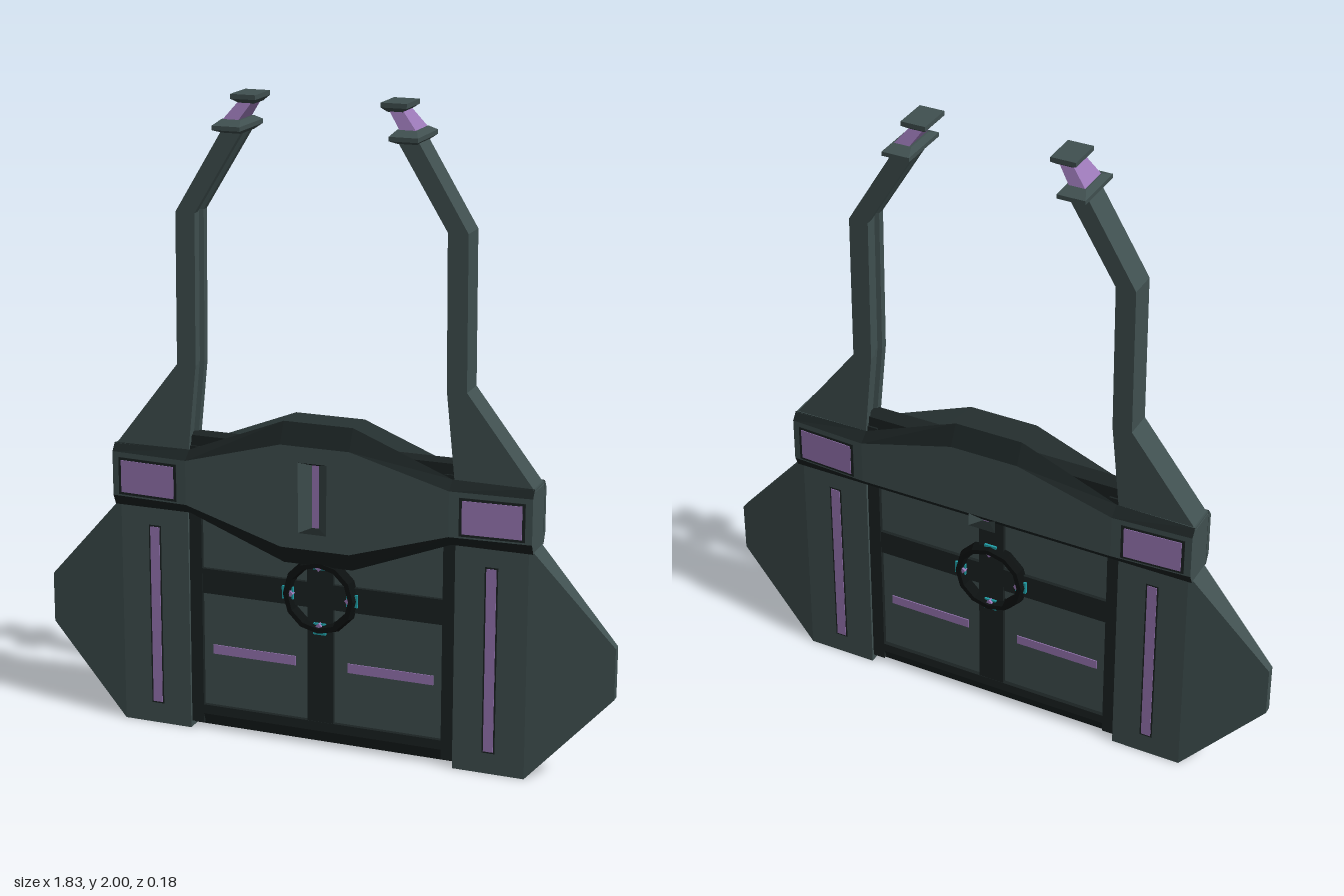
import * as THREE from 'three';

const mat = (color) => {
  const m = new THREE.MeshStandardMaterial({ flatShading: true });
  m.color.set(color);
  return m;
};

// Skin between equal-length loops of [x, y, z]; keep(i, j) filters faces (j = -1 for the two caps).
function loft(loops, keep = () => true, flip = false) {
  const n = loops[0].length, tris = [];
  for (let i = 0; i < loops.length - 1; i++) {
    for (let j = 0; j < n; j++) {
      const k = (j + 1) % n, a = loops[i], b = loops[i + 1];
      tris.push([i, j, a[j], a[k], b[k]], [i, j, a[j], b[k], b[j]]);
    }
  }
  const last = loops.length - 1;
  for (let j = 1; j < n - 1; j++) {
    tris.push([0, -1, loops[0][0], loops[0][j + 1], loops[0][j]]);
    tris.push([last, -1, loops[last][0], loops[last][j], loops[last][j + 1]]);
  }
  // Signed volume tells which way the faces point
  const v = (p) => new THREE.Vector3(...p);
  const volume = tris.reduce((s, [, , a, b, c]) => s + v(a).dot(v(b).cross(v(c))), 0);
  const reverse = (volume < 0) !== flip;
  const pos = tris.filter(([i, j]) => keep(i, j))
    .flatMap(([, , a, b, c]) => (reverse ? [a, c, b] : [a, b, c]).flat());
  const g = new THREE.BufferGeometry();
  g.setAttribute('position', new THREE.Float32BufferAttribute(pos, 3));
  g.computeVertexNormals();
  return g;
}

// Rectangle loop across a plane of constant y
const flatRect = (x0, x1, y, z) => [[x0, y, z], [x1, y, z], [x1, y, -z], [x0, y, -z]];

export function createModel() {
  const model = new THREE.Group();
  const body = mat(0x405050), dark = mat(0x1b2323), black = mat(0x0c1010);
  const purple = mat(0x9a78b6), teal = mat(0x20a0a8);

  const add = (name, geo, material, parent = model) => {
    const m = new THREE.Mesh(geo, material);
    m.name = name;
    parent.add(m);
    return m;
  };
  // Box from its x and y limits and half depth
  const box = (name, x0, x1, y0, y1, hz, material, parent) => {
    const m = add(name, new THREE.BoxGeometry(Math.abs(x1 - x0), y1 - y0, 2 * hz), material, parent);
    m.position.set((x0 + x1) / 2, (y0 + y1) / 2, 0);
    return m;
  };

  // Centre panel and its dark frame
  box('centrePanel', -0.43, 0.43, 0.04, 0.95, 0.022, body);
  box('middlePost', -0.042, 0.042, 0.05, 0.9, 0.035, dark);
  box('crossBar', -0.43, 0.43, 0.45, 0.53, 0.034, dark);
  box('topBar', -0.43, 0.43, 0.9, 0.953, 0.03, dark);
  add('bottomBar', loft([
    flatRect(-0.43, 0.43, 0.01, 0.018), flatRect(-0.43, 0.43, 0.05, 0.036), flatRect(-0.43, 0.43, 0.08, 0.036),
  ]), dark);

  for (const s of [1, -1]) {
    const side = new THREE.Group();
    side.name = s > 0 ? 'leftSide' : 'rightSide';
    model.add(side);

    box('sidePost', s * 0.39, s * 0.435, 0.02, 0.92, 0.036, dark, side);
    box('panelLight', s * 0.085, s * 0.36, 0.25, 0.28, 0.025, purple, side);

    // Wing: flat near the middle, thinning towards the tip
    const wingLoop = (x, y0, y1, z) => [[s * x, y0, z], [s * x, y1, z], [s * x, y1, -z], [s * x, y0, -z]];
    add('wing', loft([
      wingLoop(0.43, 0, 0.73, 0.045), wingLoop(0.655, 0, 0.73, 0.045), wingLoop(0.915, 0.28, 0.44, 0.013),
    ]), body, side);
    box('wingLightFrame', s * 0.522, s * 0.563, 0.066, 0.654, 0.0455, dark, side);
    box('wingLight', s * 0.527, s * 0.558, 0.071, 0.649, 0.047, purple, side);

    // Belt end, filling the gap between the two plates
    box('beltEnd', s * 0.43, s * 0.669, 0.712, 0.908, 0.052, body, side);

    // Strap with a channel along its inner side
    const strapLoop = ([xo, xi, y]) => {
      const d = xi + 0.014;
      return [[xo, 0.045], [xo, -0.045], [xi, -0.045], [xi, -0.022], [d, -0.018], [d, 0.018], [xi, 0.022], [xi, 0.045]]
        .map(([x, z]) => [s * x, y, z]);
    };
    add('strap', loft([
      [0.67, 0.425, 0.9], [0.458, 0.397, 1.175], [0.455, 0.393, 1.64], [0.298, 0.234, 1.9],
    ].map(strapLoop)), body, side);

    // Strap connector: flared collar, leaning neck and top plate
    const stack = (rows) => loft(rows.map(([x0, x1, y, z]) => flatRect(s * x0, s * x1, y, z)));
    add('collar', stack([
      [0.24, 0.3, 1.885, 0.05], [0.228, 0.315, 1.897, 0.088], [0.228, 0.315, 1.91, 0.088], [0.24, 0.3, 1.925, 0.052],
    ]), body, side);
    add('neck', stack([[0.25, 0.3, 1.92, 0.052], [0.208, 0.25, 1.98, 0.036]]), purple, side);
    add('topPlate', stack([
      [0.205, 0.25, 1.972, 0.036], [0.192, 0.27, 1.986, 0.056], [0.192, 0.27, 2, 0.056],
    ]), body, side);
  }

  // Belt plates: the front one dips in the middle, the back one has a straight lower edge
  const plate = (name, dipOuter, dipInner) => {
    const group = new THREE.Group();
    group.name = name;
    model.add(group);
    const half = [
      // x, inner low, outer low, outer high, inner high, face depth
      [0.67, 0.712, 0.745, 0.885, 0.91, 0.068],
      [0.42, 0.712, 0.745, 0.885, 0.912, 0.082],
      [0.11, dipInner, dipOuter, 0.97, 1.035, 0.082],
    ];
    const rows = [...half.map(([x, ...r]) => [-x, ...r]), ...half.slice().reverse()];
    const loops = rows.map(([x, a, b, c, d, z]) => [[x, a, 0.052], [x, b, z], [x, c, z], [x, d, 0.05]]);
    const bevel = (j) => j === 0 || j === 2;
    add('plateFaces', loft(loops, (i, j) => !bevel(j) && !(i === 2 && j === 1)), body, group);
    add('plateBevels', loft(loops, (i, j) => bevel(j)), dark, group);

    // Middle face with a sunken slot
    const rect = (x0, x1, y0, y1) => [[x0, y0], [x1, y0], [x1, y1], [x0, y1]];
    const rim = rect(-0.053, 0.038, 0.7, 0.92), floor = rect(-0.018, 0.004, 0.712, 0.908);
    const points = (r) => r.map((p) => new THREE.Vector2(...p));
    const face = new THREE.Shape(points(rect(-0.11, 0.11, dipOuter, 0.97)));
    face.holes.push(new THREE.Path(points(rim)));
    add('middleFace', new THREE.ShapeGeometry(face), body, group).position.z = 0.082;
    const slot = [[rim, 0.082], [floor, 0.055]].map(([r, z]) => r.map(([x, y]) => [x, y, z]));
    add('slotSides', loft(slot, (i, j) => j === 1 || j === 3, true), body, group);
    add('slotEnds', loft(slot, (i, j) => j === 0 || j === 2, true), dark, group);
    add('slotLight', loft(slot, (i, j) => i === 1 && j === -1, true), purple, group);

    // Lights near the ends, following the slope of the plate
    for (const s of [1, -1]) {
      for (const [part, w, h, d, m] of [['endLightFrame', 0.198, 0.118, 0.004, dark], ['endLight', 0.18, 0.102, 0.008, purple]]) {
        const light = add(part, new THREE.BoxGeometry(w, h, d), m, group);
        light.position.set(s * 0.55, 0.81, 0.0747);
        light.rotation.y = s * Math.atan(0.014 / 0.25);
      }
    }
    return group;
  };
  plate('frontBelt', 0.65, 0.592);
  plate('backBelt', 0.745, 0.712).rotation.y = Math.PI;

  // Central ring with four small gems
  const ring = new THREE.Group();
  ring.name = 'centreRing';
  ring.position.set(0, 0.49, 0);
  model.add(ring);
  const profile = [
    [0.092, -0.03], [0.098, -0.056], [0.113, -0.056], [0.121, -0.035],
    [0.121, 0.035], [0.113, 0.056], [0.098, 0.056], [0.092, 0.03], [0.092, -0.03],
  ].map((p) => new THREE.Vector2(...p));
  add('ring', new THREE.LatheGeometry(profile, 12), black, ring).rotation.x = Math.PI / 2;
  for (let i = 0; i < 4; i++) {
    const arm = new THREE.Group();
    arm.name = 'gem';
    arm.rotation.z = i * Math.PI / 2;
    ring.add(arm);
    box('gemBase', 0.086, 0.1225, -0.02, 0.02, 0.042, teal, arm);
    const tip = add('gemTip', new THREE.CylinderGeometry(0.014, 0.014, 0.1, 4), purple, arm);
    tip.rotation.x = Math.PI / 2;
    tip.position.x = 0.097;
  }
  return model;
}
